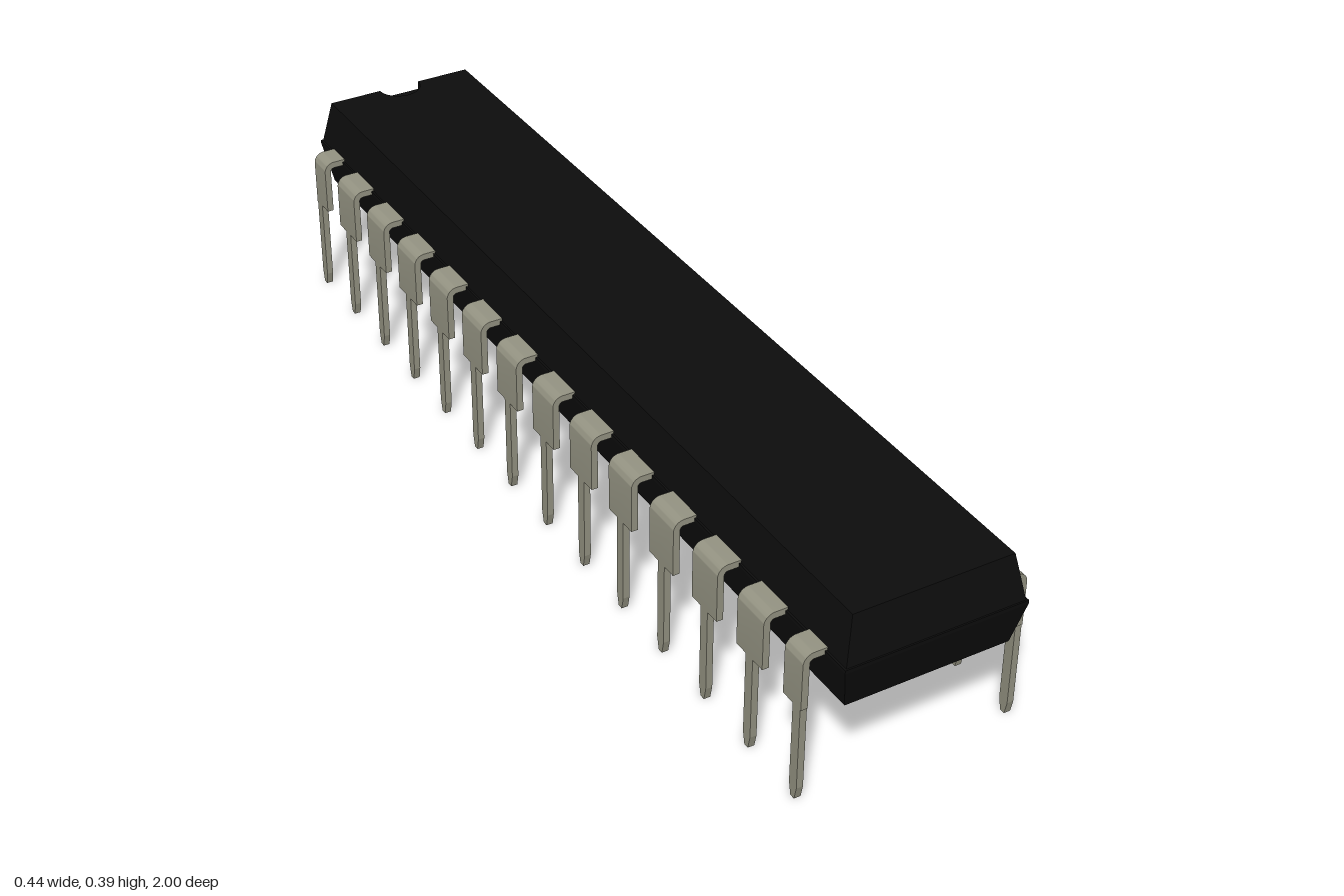
import * as THREE from 'three';
import { toCreasedNormals } from 'three/addons/utils/BufferGeometryUtils.js';

const PINS = 14, PITCH = 0.143;
const THICK = 0.013;           // sheet metal thickness
const OUT = 0.22, TOP = 0.308; // outer face and top of the bent pins
const SHOULDER = 0.195;        // where the wide part ends
const LEG = 0.011;             // half width of the narrow leg

// Outline of the body at one level; the notch sits in the middle of the -z edge
function outline(hw, hl, notched) {
  const pts = [[-hw, hl], [hw, hl], [hw, -hl]];
  const r = 0.045, n = 12;
  for (let i = 0; i <= n; i++) {
    const a = (i / n) * Math.PI;
    pts.push([r * Math.cos(a), -hl + (notched ? r * Math.sin(a) : 0)]);
  }
  pts.push([-hw, -hl]);
  return pts;
}

function bodyGeometry() {
  // y, half width, half length, notched
  const levels = [
    [0.21, 0.162, 0.98, false],
    [0.296, 0.179, 1.0, false],
    [0.303, 0.179, 1.0, false],
    [0.303, 0.175, 0.997, false],
    [0.374, 0.161, 0.984, false],
    [0.374, 0.161, 0.984, true],
    [0.394, 0.157, 0.98, true],
  ];
  const rings = levels.map(([, hw, hl, cut]) => outline(hw, hl, cut));
  const n = rings[0].length;
  const pos = [], idx = [];
  rings.forEach((ring, k) => ring.forEach(([x, z]) => pos.push(x, levels[k][0], z)));
  for (let k = 0; k < rings.length - 1; k++) {
    for (let i = 0; i < n; i++) {
      const j = (i + 1) % n;
      const a = k * n + i, b = k * n + j, c = b + n, d = a + n;
      idx.push(a, b, c, a, c, d);
    }
  }
  // Caps: a plain quad below, the notched outline above
  idx.push(0, 2, 1, 0, n - 1, 2);
  const last = (rings.length - 1) * n;
  const top = rings[rings.length - 1].map(([x, z]) => new THREE.Vector2(x, -z));
  for (const [a, b, c] of THREE.ShapeUtils.triangulateShape(top, [])) {
    idx.push(last + a, last + b, last + c);
  }
  const g = new THREE.BufferGeometry();
  g.setAttribute('position', new THREE.Float32BufferAttribute(pos, 3));
  g.setIndex(idx);
  const flat = g.toNonIndexed();
  flat.computeVertexNormals();
  return flat;
}

// Wide bent strip running out of the body and down to the shoulder
function shoulderGeometry(z0, z1) {
  const R = 0.021, r = R - THICK, cx = OUT - R, cy = TOP - R;
  const s = new THREE.Shape();
  s.moveTo(0.165, TOP - THICK);
  s.lineTo(cx, TOP - THICK);
  s.absarc(cx, cy, r, Math.PI / 2, 0, true);
  s.lineTo(OUT - THICK, SHOULDER);
  s.lineTo(OUT, SHOULDER);
  s.lineTo(OUT, cy);
  s.absarc(cx, cy, R, 0, Math.PI / 2, false);
  s.lineTo(0.165, TOP);
  s.closePath();
  const g = new THREE.ExtrudeGeometry(s, { depth: z1 - z0, bevelEnabled: false, curveSegments: 6 });
  g.translate(0, 0, z0);
  return toCreasedNormals(g, 0.6);
}

// Narrow leg with a tapered tip
function legGeometry() {
  const s = new THREE.Shape([
    [-LEG, SHOULDER], [-LEG, 0.026], [-LEG * 0.5, 0], [LEG * 0.5, 0], [LEG, 0.026], [LEG, SHOULDER],
  ].map(([u, y]) => new THREE.Vector2(u, y)));
  const g = new THREE.ExtrudeGeometry(s, { depth: THICK, bevelEnabled: false });
  g.rotateY(Math.PI / 2);
  g.translate(OUT - THICK, 0, 0);
  return g;
}

export function createModel() {
  const black = new THREE.MeshStandardMaterial({ color: 0x0d0d0d });
  black.name = 'blackPlastic';
  const metal = new THREE.MeshStandardMaterial({ color: 0x959483 });
  metal.name = 'dullMetal';

  const model = new THREE.Group();
  model.name = 'dualInlineChip';
  const add = (parent, name, geometry, material) => {
    const mesh = new THREE.Mesh(geometry, material);
    mesh.name = name;
    parent.add(mesh);
    return mesh;
  };
  add(model, 'body', bodyGeometry(), black);

  // End pins are cut flush with the leg on their outer side
  const full = shoulderGeometry(-0.04, 0.04);
  const frontEnd = shoulderGeometry(-0.04, LEG + 0.002);
  const backEnd = shoulderGeometry(-LEG - 0.002, 0.04);
  const leg = legGeometry();

  for (const side of ['left', 'right']) {
    const row = new THREE.Group();
    row.name = side + 'PinRow';
    if (side === 'right') row.rotation.y = Math.PI;
    for (let i = 0; i < PINS; i++) {
      const pin = new THREE.Group();
      pin.name = 'pin';
      pin.position.z = (i - (PINS - 1) / 2) * PITCH;
      add(pin, 'pinShoulder', i === 0 ? backEnd : i === PINS - 1 ? frontEnd : full, metal);
      add(pin, 'pinLeg', leg, metal);
      row.add(pin);
    }
    model.add(row);
  }
  return model;
}
